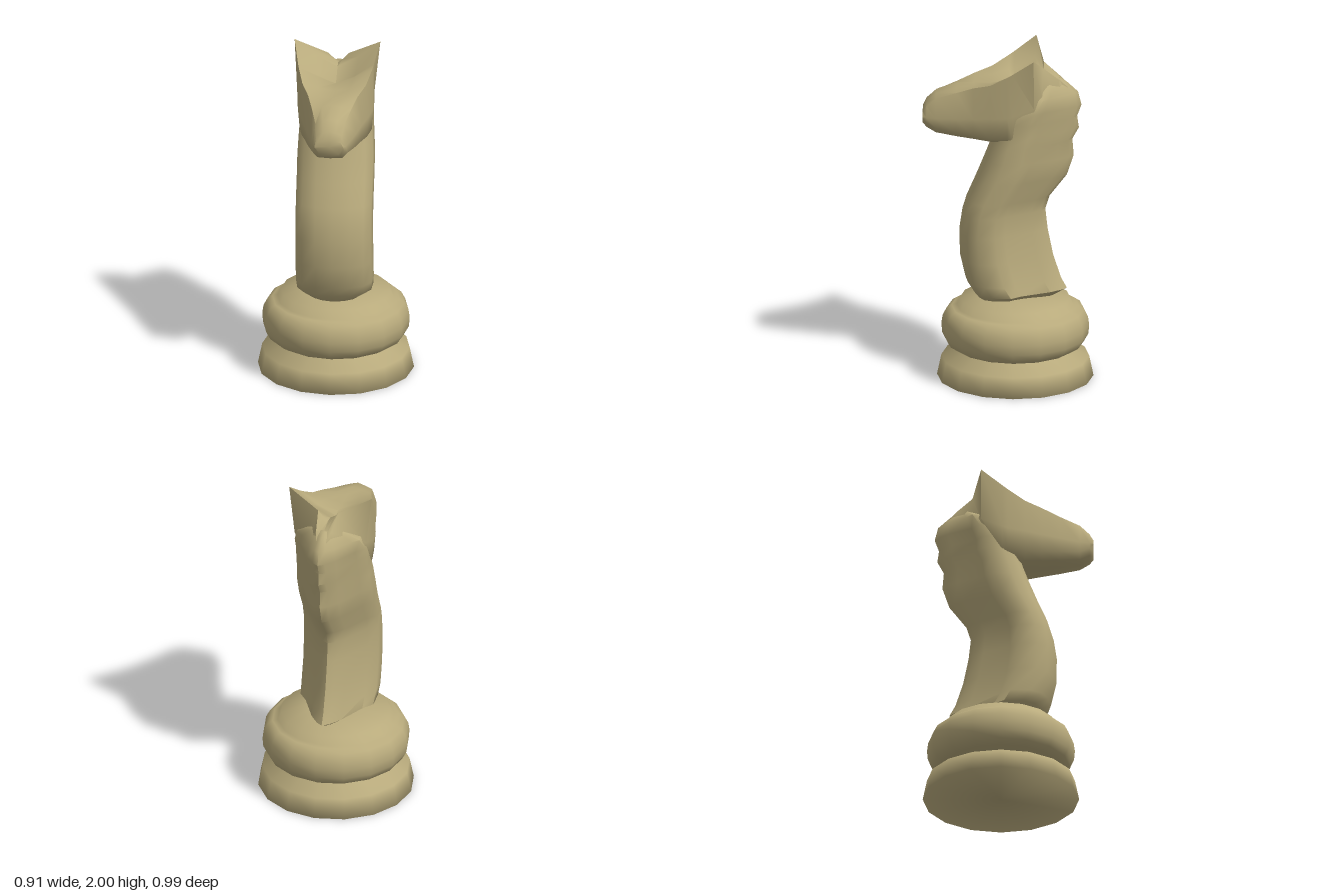
import * as THREE from 'three';
import { toCreasedNormals } from 'three/addons/utils/BufferGeometryUtils.js';

const material = new THREE.MeshStandardMaterial({ color: 0xb8aa7c, side: THREE.DoubleSide });

function addPart(group, name, geometry, crease) {
  const mesh = new THREE.Mesh(toCreasedNormals(geometry, crease), material);
  mesh.name = name;
  group.add(mesh);
  return mesh;
}

// Skin closed rings of [x, y, z] points and cap both ends.
function loft(rings) {
  const n = rings[0].length, index = [];
  const points = rings.flat();
  for (let i = 0; i < rings.length - 1; i++) {
    for (let j = 0; j < n; j++) {
      const a = i * n + j, b = i * n + (j + 1) % n;
      index.push(a, b, b + n, a, b + n, a + n);
    }
  }
  [rings[0], rings[rings.length - 1]].forEach((ring, end) => {
    const c = points.length, o = end ? (rings.length - 1) * n : 0;
    points.push([0, 1, 2].map(k => ring.reduce((s, p) => s + p[k], 0) / n));
    for (let j = 0; j < n; j++) {
      const a = o + j, b = o + (j + 1) % n;
      if (end) index.push(c, a, b); else index.push(c, b, a);
    }
  });
  const g = new THREE.BufferGeometry();
  g.setAttribute('position', new THREE.Float32BufferAttribute(points.flat(), 3));
  g.setIndex(index);
  return g;
}

// Complete a half ring (from centre line to centre line on +x) by mirroring.
const mirror = half => [...half, ...half.slice(1, -1).reverse().map(([x, y, z]) => [-x, y, z])];

// Neck section: rounded front, then a wedge narrowing to the mane ridge.
function neckRing([y, front, back, w]) {
  const d = front - back;
  const shape = [[0, 0], [0.45, 0.03], [0.8, 0.1], [0.98, 0.22], [1, 0.42],
    [0.78, 0.53], [0.4, 0.83], [0.17, 0.95], [0, 1]];
  return mirror(shape.map(([u, t]) => [u * w, y, front - t * d]));
}

// Head section across z: under-jaw, cheek, brow edge and crown.
function headRing([z, w, bottom, mid, edge, crown, edgeW]) {
  const low = z < -0.1 ? 0.65 : 0.95;
  return mirror([
    [0, bottom, z], [w * low * 0.7, bottom + 0.005, z], [w * low, bottom + 0.04, z],
    [w, mid, z], [edgeW, edge, z],
    [edgeW * 0.5, edge * 0.42 + crown * 0.58, z], [0, crown, z],
  ]);
}

export function createModel() {
  const group = new THREE.Group();

  // Turned base: foot, bulging ring and collar
  const foot = [[0, 0], [0.455, 0], [0.43, 0.12], [0.29, 0.18], [0.28, 0.2]];
  const bulge = [[0.28, 0.18], [0.36, 0.185], [0.4, 0.21], [0.425, 0.255], [0.43, 0.31],
    [0.423, 0.36], [0.4, 0.405], [0.37, 0.425], [0.34, 0.43],
    [0.32, 0.475], [0.14, 0.5], [0, 0.5]];
  Object.entries({ foot, bulgeAndCollar: bulge }).forEach(([name, profile]) => {
    const g = new THREE.LatheGeometry(profile.map(p => new THREE.Vector2(...p)), 16);
    addPart(group, name, g, 2).position.z = -0.04;
  });

  // Neck and mane: height, front z, back z, half width
  const neck = [
    [0.49, 0.18, -0.26, 0.14], [0.535, 0.21, -0.34, 0.22], [0.6, 0.25, -0.305, 0.225],
    [0.74, 0.282, -0.26, 0.225], [0.9, 0.285, -0.228, 0.225], [1.02, 0.267, -0.215, 0.225],
    [1.1, 0.243, -0.24, 0.225], [1.23, 0.187, -0.34, 0.225], [1.35, 0.138, -0.38, 0.225],
    [1.45, 0.1, -0.372, 0.22], [1.52, 0.08, -0.41, 0.215], [1.59, 0.06, -0.4, 0.215],
    [1.66, 0.03, -0.425, 0.215], [1.74, -0.06, -0.405, 0.19], [1.8, -0.16, -0.34, 0.1],
    [1.82, -0.2, -0.31, 0.06],
  ];
  addPart(group, 'neckAndMane', loft(neck.map(neckRing)), 1.1);

  // Head with ears: z, half width, jaw y, cheek y, brow edge y, crown y, brow half width
  const head = [
    [-0.39, 0.03, 1.56, 1.66, 1.735, 1.74, 0.02], [-0.3, 0.1, 1.5, 1.7, 1.82, 1.815, 0.045],
    [-0.205, 0.155, 1.49, 1.74, 1.9, 1.84, 0.06], [-0.155, 0.217, 1.48, 1.7, 2.0, 1.835, 0.25],
    [-0.03, 0.222, 1.465, 1.65, 1.91, 1.775, 0.222], [0, 0.22, 1.465, 1.64, 1.89, 1.795, 0.215],
    [0.1, 0.2, 1.465, 1.63, 1.83, 1.79, 0.185], [0.2, 0.17, 1.475, 1.62, 1.80, 1.79, 0.145],
    [0.3, 0.145, 1.485, 1.61, 1.76, 1.785, 0.115], [0.42, 0.11, 1.5, 1.6, 1.715, 1.745, 0.085],
    [0.475, 0.095, 1.53, 1.6, 1.665, 1.695, 0.075], [0.497, 0.085, 1.555, 1.6, 1.63, 1.645, 0.07],
  ];
  addPart(group, 'head', loft(head.map(headRing)), 1);

  return group;
}
